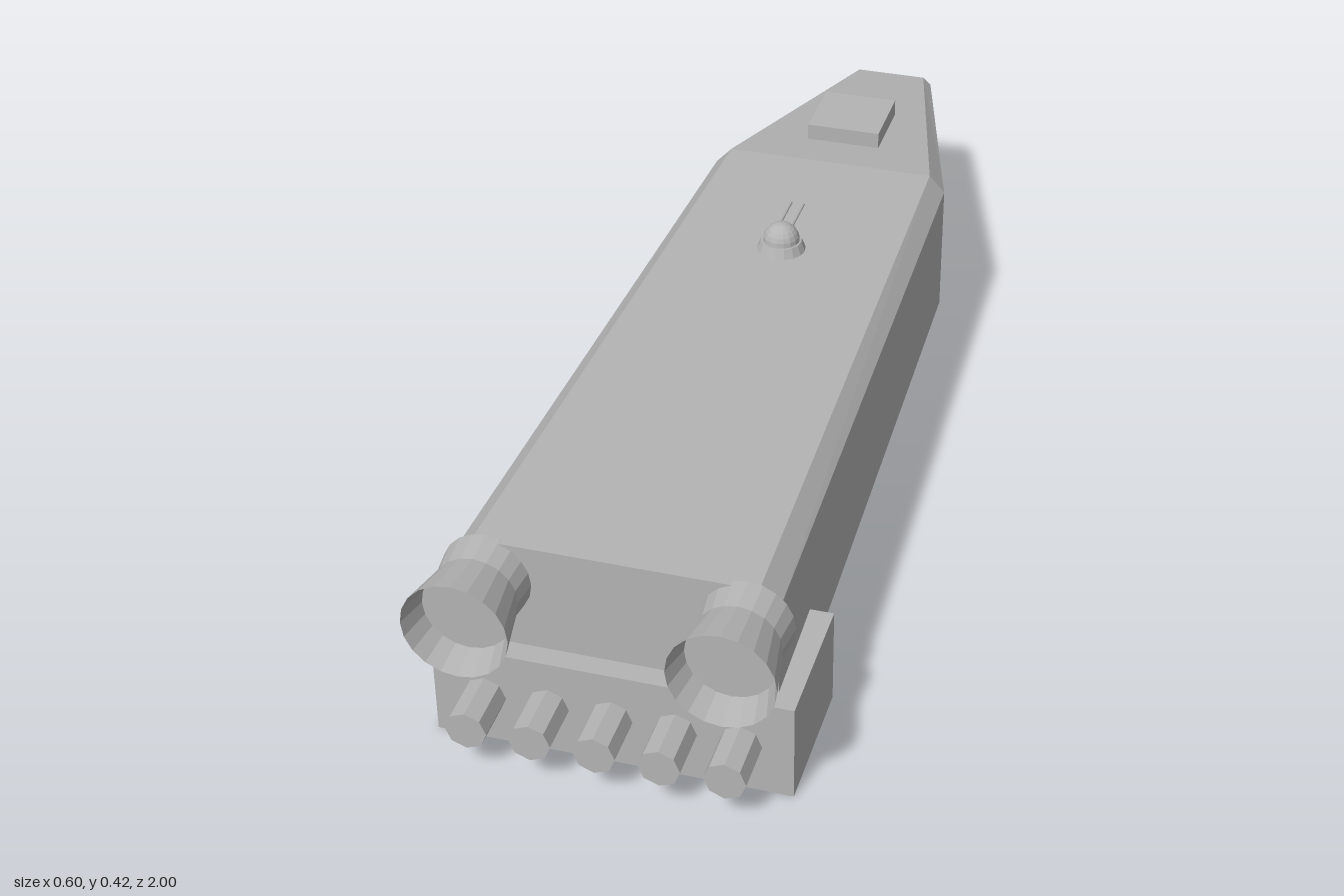
import * as THREE from 'three';

const grey = new THREE.MeshStandardMaterial({ color: 0xb4b4b4, flatShading: true });
grey.name = 'hull grey';

// Hull lofted through eight-sided sections: z, flat half width, full half width, and four heights
function hullGeometry() {
  const sections = [
    [0.86, 0.233, 0.265, 0.027, 0.06, 0.342, 0.373],
    [-0.47, 0.2, 0.23, 0.04, 0.073, 0.326, 0.358],
    [-1, 0.07, 0.086, 0.112, 0.128, 0.272, 0.287],
  ];
  const rings = sections.map(([z, w, W, y0, y1, y2, y3]) => [
    [w, y0, z], [W, y1, z], [W, y2, z], [w, y3, z],
    [-w, y3, z], [-W, y2, z], [-W, y1, z], [-w, y0, z],
  ]);
  const pos = [];
  const tri = (a, b, c) => pos.push(...a, ...b, ...c);
  for (let s = 0; s < rings.length - 1; s++) {
    for (let i = 0; i < 8; i++) {
      const j = (i + 1) % 8;
      const a = rings[s][i], b = rings[s][j], c = rings[s + 1][j], d = rings[s + 1][i];
      tri(a, d, c);
      tri(a, c, b);
    }
  }
  const rear = rings[0], nose = rings[rings.length - 1];
  for (let i = 1; i < 7; i++) {
    tri(rear[0], rear[i], rear[i + 1]);
    tri(nose[0], nose[i + 1], nose[i]);
  }
  const g = new THREE.BufferGeometry();
  g.setAttribute('position', new THREE.Float32BufferAttribute(pos, 3));
  g.computeVertexNormals();
  return g;
}

export function createModel() {
  const model = new THREE.Group();
  model.name = 'spaceship';
  const add = (name, geometry, x, y, z, parent = model) => {
    const mesh = new THREE.Mesh(geometry, grey);
    mesh.name = name;
    mesh.position.set(x, y, z);
    parent.add(mesh);
    return mesh;
  };

  add('hull', hullGeometry(), 0, 0, 0);
  add('bridge', new THREE.BoxGeometry(0.144, 0.033, 0.145), 0, 0.359, -0.648);
  add('engineBlock', new THREE.BoxGeometry(0.6, 0.178, 0.245), 0, 0.089, 0.775);

  // Row of small thrusters on the engine block
  const thruster = new THREE.CylinderGeometry(0.035, 0.035, 0.11, 8).rotateX(Math.PI / 2);
  for (let i = -2; i <= 2; i++) add('thruster', thruster, i * 0.1065, 0.09, 0.932);

  // Pair of flared main engines with a recessed disc inside the rim
  const profile = [[0, 0.85], [0.076, 0.85], [0.07, 0.905], [0.088, 1], [0.074, 0.945], [0, 0.945]]
    .map(([r, z]) => new THREE.Vector2(r, z));
  const engine = new THREE.LatheGeometry(profile, 20).rotateX(Math.PI / 2);
  for (const side of [1, -1]) add(side > 0 ? 'leftEngine' : 'rightEngine', engine, side * 0.2125, 0.302, 0);

  // Gun turret: tapered base, dome and twin barrels
  const turret = new THREE.Group();
  turret.name = 'turret';
  turret.position.set(0, 0.372, -0.113);
  model.add(turret);
  add('turretBase', new THREE.CylinderGeometry(0.038, 0.045, 0.018, 16), 0, 0.009, 0, turret);
  add('turretDome', new THREE.SphereGeometry(0.034, 16, 6, 0, Math.PI * 2, 0, Math.PI / 2), 0, 0.018, 0, turret);
  const barrel = new THREE.CylinderGeometry(0.0035, 0.0035, 0.1, 8).rotateX(Math.PI / 2);
  for (const side of [1, -1]) add('barrel', barrel, side * 0.012, 0.032, -0.06, turret);

  return model;
}
